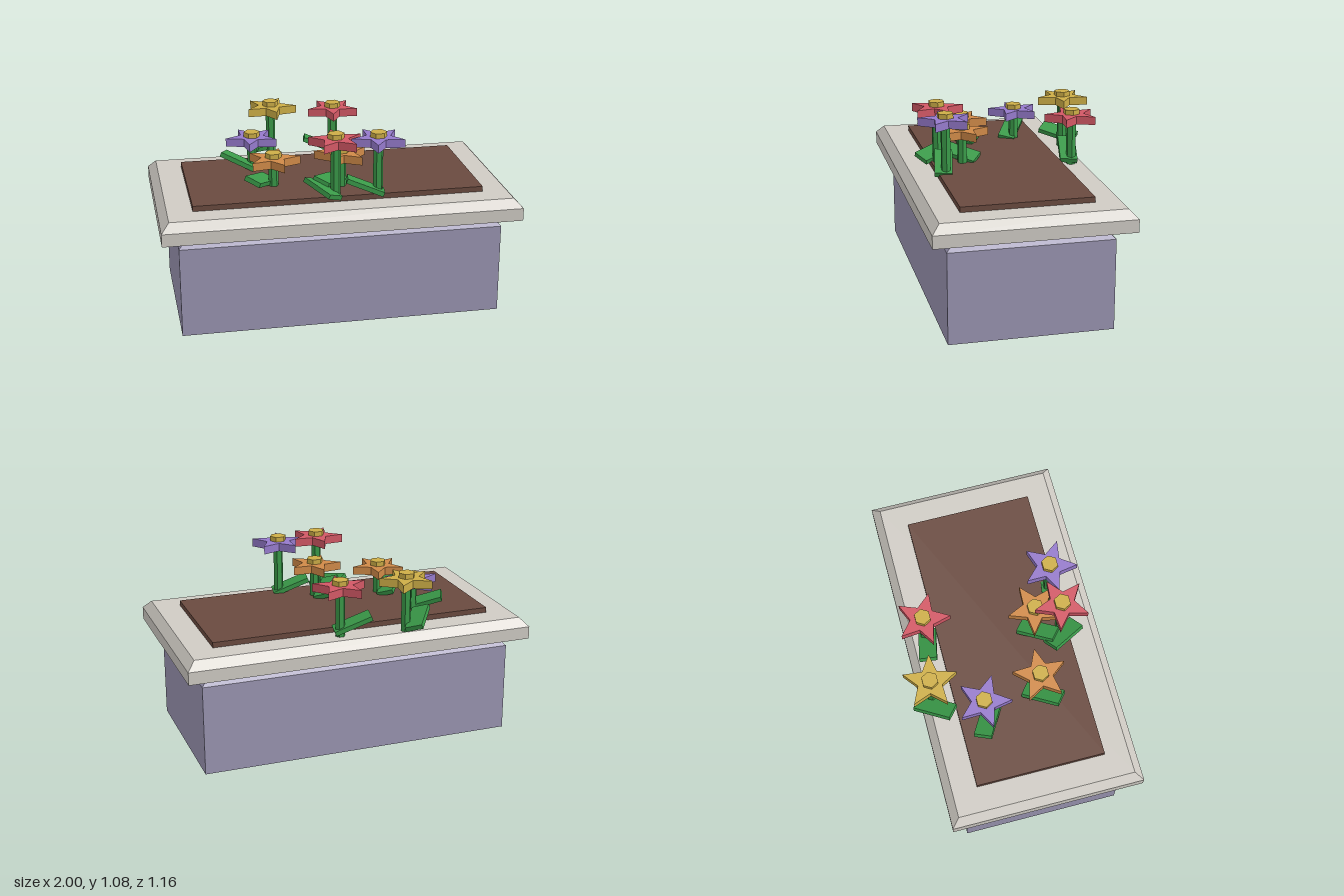
import * as THREE from 'three';

const mat = (name, color) => {
  const m = new THREE.MeshStandardMaterial({ color });
  m.name = name;
  return m;
};

// Box whose top edge is chamfered, standing on y = 0
function chamferedBlock(w, d, wall, height, inset) {
  const loops = [[0, 0], [wall, 0], [wall, 0], [height, inset], [height, inset]];
  const pos = [];
  const ring = ([y, i]) => [[-1, 1], [1, 1], [1, -1], [-1, -1]]
    .map(([sx, sz]) => [sx * (w / 2 - i), y, sz * (d / 2 - i)]);
  const quad = (a, b, c, e) => pos.push(...a, ...b, ...c, ...a, ...c, ...e);
  for (const k of [0, 2]) {
    const lo = ring(loops[k]), hi = ring(loops[k + 1]);
    for (let i = 0; i < 4; i++) {
      const j = (i + 1) % 4;
      quad(lo[i], lo[j], hi[j], hi[i]);
    }
  }
  const bottom = ring(loops[0]), top = ring(loops[4]);
  quad(...top);
  quad(...bottom.reverse());
  const g = new THREE.BufferGeometry();
  g.setAttribute('position', new THREE.Float32BufferAttribute(pos, 3));
  g.computeVertexNormals();
  return g;
}

// Five-pointed blossom, top face on y = 0
function starGeometry(r, thickness) {
  const pts = [];
  for (let i = 0; i < 10; i++) {
    const a = (i * Math.PI) / 5, q = i % 2 ? r * 0.45 : r;
    pts.push(new THREE.Vector2(Math.cos(a) * q, Math.sin(a) * q));
  }
  const g = new THREE.ExtrudeGeometry(new THREE.Shape(pts), { depth: thickness, bevelEnabled: false });
  return g.rotateX(Math.PI / 2);
}

// Six-sided prism with corners on the x axis
const hexPrism = (r, h) => new THREE.CylinderGeometry(r, r, h, 6).rotateY(Math.PI / 2).toNonIndexed();

export function createModel() {
  const model = new THREE.Group();
  model.name = 'flowerPlanter';
  const stone = mat('lavenderStone', 0x9a95b2);
  const rimMat = mat('paleRim', 0xcfcbc4);
  const soilMat = mat('soilBrown', 0x6a4a3f);
  const green = mat('leafGreen', 0x3a9a49);
  const yellow = mat('yellow', 0xcdae47);
  const red = mat('red', 0xd25865);
  const purple = mat('purple', 0x957acb);
  const orange = mat('orange', 0xd08a48);

  const add = (parent, name, geometry, material, x, y, z) => {
    const m = new THREE.Mesh(geometry, material);
    m.name = name;
    m.position.set(x, y, z);
    parent.add(m);
    return m;
  };

  // Planter body, rim and soil
  const cz = 0.035;
  add(model, 'planterBody', chamferedBlock(1.81, 0.912, 0.515, 0.58, 0.064), stone, 0, 0, cz);
  add(model, 'rim', chamferedBlock(2, 1.094, 0.072, 0.12, 0.045), rimMat, 0, 0.578, cz);
  add(model, 'soil', new THREE.BoxGeometry(1.63, 0.04, 0.73), soilMat, 0, 0.708, cz + 0.002);

  // Flowers: x, z, petal top height, petal angle, leaf angle, petal colour
  const flowers = [
    [-0.26, -0.443, 1.012, 11, -54, yellow],
    [0.11, -0.395, 0.997, 26, 10, red],
    [-0.41, -0.18, 0.911, 30, 27, purple],
    [-0.335, 0.16, 0.895, 2, -54, orange],
    [0.038, 0.23, 0.928, -20, -54, orange],
    [-0.02, 0.365, 1.055, -18, 58, red],
    [0.22, 0.36, 1.047, 31, 10, purple],
  ];
  const petals = starGeometry(0.154, 0.047);
  const core = hexPrism(0.047, 0.04);
  const leafGeo = new THREE.BoxGeometry(0.22, 0.027, 0.1);
  const rad = THREE.MathUtils.degToRad;
  core.computeVertexNormals();

  for (const [x, z, top, turn, leafTurn, colour] of flowers) {
    const f = new THREE.Group();
    f.name = 'flower';
    f.position.set(x, 0, z);
    const h = top - 0.02 - 0.7;
    const stemGeo = hexPrism(0.028, h);
    stemGeo.computeVertexNormals();
    add(f, 'stem', stemGeo, green, 0, 0.7 + h / 2, 0);
    add(f, 'petals', petals, colour, 0, top, 0).rotation.y = -rad(turn);
    add(f, 'flowerCentre', core, yellow, 0, top + 0.008, 0);
    // Leaf turned in its own plane, then tilted up towards -x
    const leaf = add(f, 'leaf', leafGeo, green, -0.072, 0.765, 0);
    leaf.rotation.set(0, -rad(leafTurn), -0.38, 'ZYX');
    model.add(f);
  }
  return model;
}
